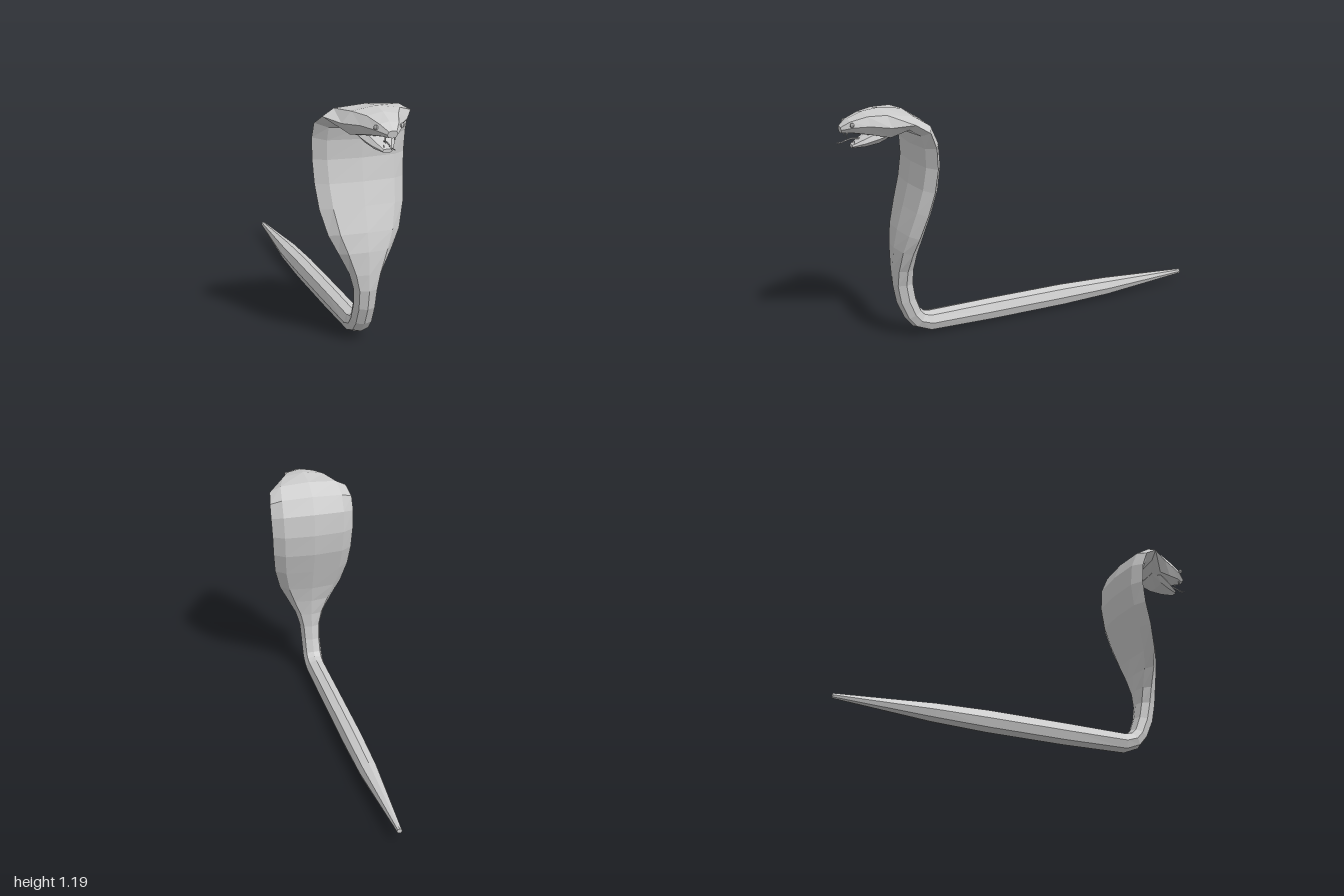
import * as THREE from 'three';

const material = new THREE.MeshStandardMaterial({ color: 0xcccccc, flatShading: true });

// Eight-sided section: [sideways, back-to-front] factors
const SECTION = [[0, 1], [0.73, 0.75], [1, 0], [0.73, -0.75], [0, -1], [-0.73, -0.75], [-1, 0], [-0.73, 0.75]];

// Each ring: back z, back y, front z, front y, half width
function loft(name, rings) {
  const n = SECTION.length, pos = [], idx = [];
  for (const [bz, by, fz, fy, w] of rings) {
    const cz = (bz + fz) / 2, cy = (by + fy) / 2;
    for (const [s, t] of SECTION) pos.push(w * s, cy + (by - cy) * t, cz + (bz - cz) * t);
  }
  for (let i = 0; i < rings.length - 1; i++) {
    for (let j = 0; j < n; j++) {
      const a = i * n + j, b = i * n + (j + 1) % n;
      idx.push(a, a + n, b, b, a + n, b + n);
    }
  }
  // End caps
  const last = (rings.length - 1) * n;
  for (let j = 1; j < n - 1; j++) {
    idx.push(0, j, j + 1, last, last + j + 1, last + j);
  }
  const geo = new THREE.BufferGeometry();
  geo.setAttribute('position', new THREE.Float32BufferAttribute(pos, 3));
  geo.setIndex(idx);
  geo.computeVertexNormals();
  return part(name, geo);
}

function part(name, geo, x = 0, y = 0, z = 0) {
  const mesh = new THREE.Mesh(geo, material);
  mesh.name = name;
  mesh.position.set(x, y, z);
  return mesh;
}

function tube(name, points, radius) {
  const curve = new THREE.CatmullRomCurve3(points.map(p => new THREE.Vector3(...p)));
  return part(name, new THREE.TubeGeometry(curve, 6, radius, 5));
}

export function createModel() {
  const model = new THREE.Group();
  model.name = 'cobra';

  // Tail, raised body, hood and upper head in one skin
  model.add(loft('bodyHoodAndSkull', [
    [-1, 0.075, -1, 0.05, 0.013],
    [-0.5, 0.108, -0.5, 0.012, 0.05],
    [-0.22, 0.118, -0.22, 0.002, 0.055],
    [0.2, 0.118, 0.2, 0.001, 0.055],
    [0.55, 0.114, 0.56, 0.009, 0.055],
    [0.585, 0.12, 0.645, 0.045, 0.055],
    [0.605, 0.14, 0.69, 0.1, 0.055],
    [0.63, 0.21, 0.73, 0.19, 0.055],
    [0.643, 0.29, 0.748, 0.29, 0.06],
    [0.645, 0.37, 0.746, 0.37, 0.083],
    [0.638, 0.46, 0.735, 0.48, 0.133],
    [0.62, 0.55, 0.715, 0.57, 0.178],
    [0.585, 0.67, 0.68, 0.69, 0.21],
    [0.55, 0.79, 0.65, 0.80, 0.222],
    [0.535, 0.91, 0.632, 0.91, 0.228],
    [0.545, 1.03, 0.635, 1.0, 0.232],
    [0.585, 1.12, 0.65, 1.06, 0.23],
    [0.67, 1.175, 0.70, 1.09, 0.215],
    [0.79, 1.19, 0.77, 1.045, 0.158],
    [0.87, 1.18, 0.86, 1.065, 0.102],
    [0.945, 1.152, 0.93, 1.08, 0.062],
    [0.985, 1.12, 0.98, 1.085, 0.025],
  ]));

  // Open lower jaw
  model.add(loft('lowerJaw', [
    [0.75, 1.1, 0.74, 1.06, 0.1],
    [0.82, 1.085, 0.81, 1.022, 0.08],
    [0.88, 1.055, 0.87, 1.01, 0.055],
    [0.93, 1.026, 0.93, 1.008, 0.024],
  ]));

  // Eyes and upper and lower teeth on both sides
  for (const side of [-1, 1]) {
    model.add(part('eye', new THREE.SphereGeometry(0.011, 8, 6), side * 0.062, 1.13, 0.942));
    const fang = part('fang', new THREE.ConeGeometry(0.005, 0.034, 5), side * 0.022, 1.072, 0.955);
    fang.rotation.x = Math.PI;
    model.add(fang);
    model.add(part('lowerTooth', new THREE.ConeGeometry(0.004, 0.022, 5), side * 0.013, 1.034, 0.918));
  }

  // Forked tongue
  model.add(tube('tongue', [[0, 1.045, 0.87], [0, 1.054, 0.92], [0, 1.044, 0.965]], 0.004));
  for (const side of [-1, 1]) {
    model.add(tube('tongueFork', [[0, 1.044, 0.965], [side * 0.004, 1.039, 0.98], [side * 0.008, 1.037, 0.999]], 0.0025));
  }
  return model;
}
